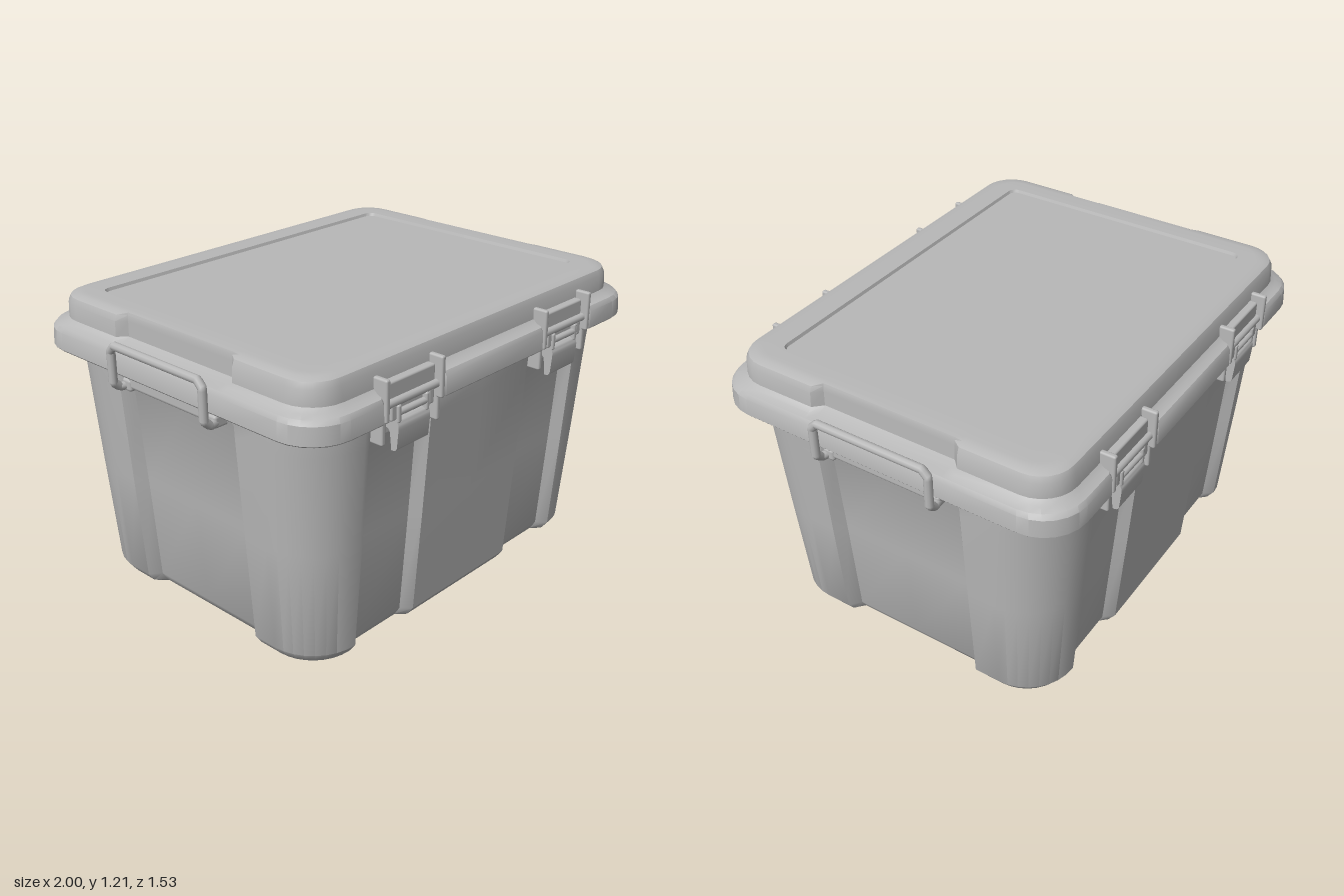
import * as THREE from 'three';
import { toCreasedNormals } from 'three/addons/utils/BufferGeometryUtils.js';
import { RoundedBoxGeometry } from 'three/addons/geometries/RoundedBoxGeometry.js';

// Rounded rectangle outline with two recesses on front/back (dF) and one on each side (dS)
function outline(hx, hz, r, dF, dS, seg) {
  const q = [[0, hz], [0.295, hz], [0.33, hz - dF], [0.595, hz - dF], [0.63, hz]];
  for (let i = 0; i <= seg; i++) {
    const a = (i / seg) * Math.PI / 2;
    q.push([hx - r + r * Math.sin(a), hz - r + r * Math.cos(a)]);
  }
  q.push([hx, 0.32], [hx - dS, 0.285], [hx - dS, 0]);
  const half = q.concat(q.slice(0, -1).reverse().map(([x, z]) => [x, -z])).slice(0, -1);
  return half.concat(half.map(([x, z]) => [-x, -z]));
}

// Closed solid through stacked rings [y, hx, hz, cornerRadius, dF, dS]
function loft(rings, seg, crease) {
  const loops = rings.map(([y, ...p]) => outline(...p, seg).map(([x, z]) => [x, y, z]));
  const pos = [];
  const tri = (a, b, c) => pos.push(...a, ...b, ...c);
  const n = loops[0].length, last = loops.length - 1;
  for (let j = 0; j < n; j++) {
    const k = (j + 1) % n;
    for (let i = 0; i < last; i++) {
      const A = loops[i], B = loops[i + 1];
      tri(A[j], A[k], B[k]);
      tri(A[j], B[k], B[j]);
    }
    tri([0, rings[0][0], 0], loops[0][k], loops[0][j]);
    tri([0, rings[last][0], 0], loops[last][j], loops[last][k]);
  }
  const g = new THREE.BufferGeometry();
  g.setAttribute('position', new THREE.Float32BufferAttribute(pos, 3));
  return toCreasedNormals(g, crease);
}

export function createModel() {
  const model = new THREE.Group();
  model.name = 'storageBox';
  const grey = new THREE.MeshStandardMaterial({ color: 0xb8b8b8 });
  grey.name = 'grey plastic';

  const add = (parent, name, geo, x = 0, y = 0, z = 0) => {
    const m = new THREE.Mesh(geo, grey);
    m.name = name;
    m.position.set(x, y, z);
    parent.add(m);
    return m;
  };
  const box = (w, h, d, r = 0.008) => new RoundedBoxGeometry(w, h, d, 2, r);

  // Tapered tub with recessed panels
  add(model, 'tub', loft([
    [0, 0.785, 0.57, 0.15, 0.03, 0.03],
    [0.015, 0.815, 0.605, 0.18, 0.035, 0.04],
    [0.055, 0.843, 0.635, 0.21, 0.04, 0.045],
    [0.5, 0.877, 0.668, 0.235, 0.04, 0.045],
    [0.9, 0.905, 0.695, 0.255, 0.04, 0.04],
    [0.96, 0.908, 0.70, 0.255, 0.02, 0.015],
    [1.01, 0.911, 0.70, 0.255, 0.01, 0.01],
  ], 8, 0.55));

  // Lid: overhanging rim, raised top and sunken centre panel
  add(model, 'lid', loft([
    [1.0, 0.86, 0.65, 0.16, 0, 0],
    [1.0, 0.96, 0.758, 0.17, 0.035, 0],
    [1.006, 0.965, 0.763, 0.17, 0.035, 0],
    [1.075, 0.962, 0.76, 0.17, 0.035, 0],
    [1.092, 0.95, 0.748, 0.165, 0.025, 0],
    [1.1, 0.925, 0.723, 0.15, 0, 0.02],
    [1.115, 0.908, 0.706, 0.14, 0, 0.035],
    [1.175, 0.904, 0.70, 0.13, 0, 0.033],
    [1.198, 0.895, 0.69, 0.125, 0, 0.025],
    [1.208, 0.872, 0.668, 0.11, 0, 0.005],
    [1.21, 0.845, 0.635, 0.09, 0, 0],
    [1.21, 0.78, 0.565, 0.035, 0, 0],
    [1.198, 0.775, 0.56, 0.033, 0, 0],
  ], 6, 0.6));

  // Curved latch lever, side profile as (z, y), extruded along x
  const s = new THREE.Shape();
  s.moveTo(0.69, 0.99);
  s.lineTo(0.735, 0.99);
  s.quadraticCurveTo(0.758, 0.985, 0.756, 0.95);
  s.lineTo(0.75, 0.88);
  s.quadraticCurveTo(0.745, 0.866, 0.725, 0.868);
  s.lineTo(0.718, 0.93);
  s.quadraticCurveTo(0.715, 0.95, 0.69, 0.95);
  const leverGeo = new THREE.ExtrudeGeometry(s, { depth: 0.17, bevelEnabled: false, curveSegments: 6 });
  leverGeo.rotateY(-Math.PI / 2);
  leverGeo.translate(0.085, 0, 0);
  const lever = toCreasedNormals(leverGeo, 0.6);

  const rod = (r, len) => new THREE.CylinderGeometry(r, r, len, 12).rotateZ(Math.PI / 2);

  // Four latches: two at the front, two at the back
  for (const side of [0, Math.PI]) {
    for (const x of [-0.463, 0.463]) {
      const latch = new THREE.Group();
      latch.name = 'latch';
      add(latch, 'latchPlate', box(0.27, 0.13, 0.05), 0, 1.065, 0.71);
      for (const e of [-1, 1]) {
        add(latch, 'latchEar', box(0.022, 0.16, 0.065), e * 0.147, 1.08, 0.731);
        add(latch, 'latchEarFoot', box(0.022, 0.11, 0.06), e * 0.147, 0.965, 0.715);
        add(latch, 'leverArm', box(0.02, 0.07, 0.04), e * 0.075, 1.01, 0.735);
        add(latch, 'leverPeg', box(0.03, 0.06, 0.03), e * 0.1, 1.02, 0.735);
      }
      add(latch, 'latchHinge', rod(0.016, 0.28), 0, 1.055, 0.738);
      add(latch, 'leverPin', rod(0.013, 0.15), 0, 1.012, 0.742);
      add(latch, 'lever', lever);
      add(latch, 'latchMount', box(0.25, 0.09, 0.06), 0, 0.965, 0.67);
      // Place the latch, turning it round for the back
      latch.rotation.y = side;
      latch.position.x = x;
      model.add(latch);
    }
  }

  // Bail handles on both ends
  const path = new THREE.CurvePath();
  const pts = [[0.89, 0.95, 0.235], [0.955, 0.95, 0.252], [0.983, 0.975, 0.252], [0.983, 1.1, 0.252], [0.983, 1.124, 0.23]]
    .map((p) => new THREE.Vector3(...p));
  const mirrored = pts.map((p) => new THREE.Vector3(p.x, p.y, -p.z)).reverse();
  const all = pts.concat(mirrored);
  for (let i = 0; i < all.length - 1; i++) path.add(new THREE.LineCurve3(all[i], all[i + 1]));
  const handleGeo = new THREE.TubeGeometry(path, 120, 0.017, 10);
  for (const side of [0, Math.PI]) {
    const handle = new THREE.Group();
    handle.name = 'handle';
    add(handle, 'handleBail', handleGeo);
    add(handle, 'handleLedge', box(0.1, 0.06, 0.47, 0.015), 0.885, 0.97, 0);
    for (const e of [-1, 1]) add(handle, 'handleSocket', box(0.07, 0.05, 0.05, 0.012), 0.905, 0.955, e * 0.235);
    handle.rotation.y = side;
    model.add(handle);
  }
  return model;
}
